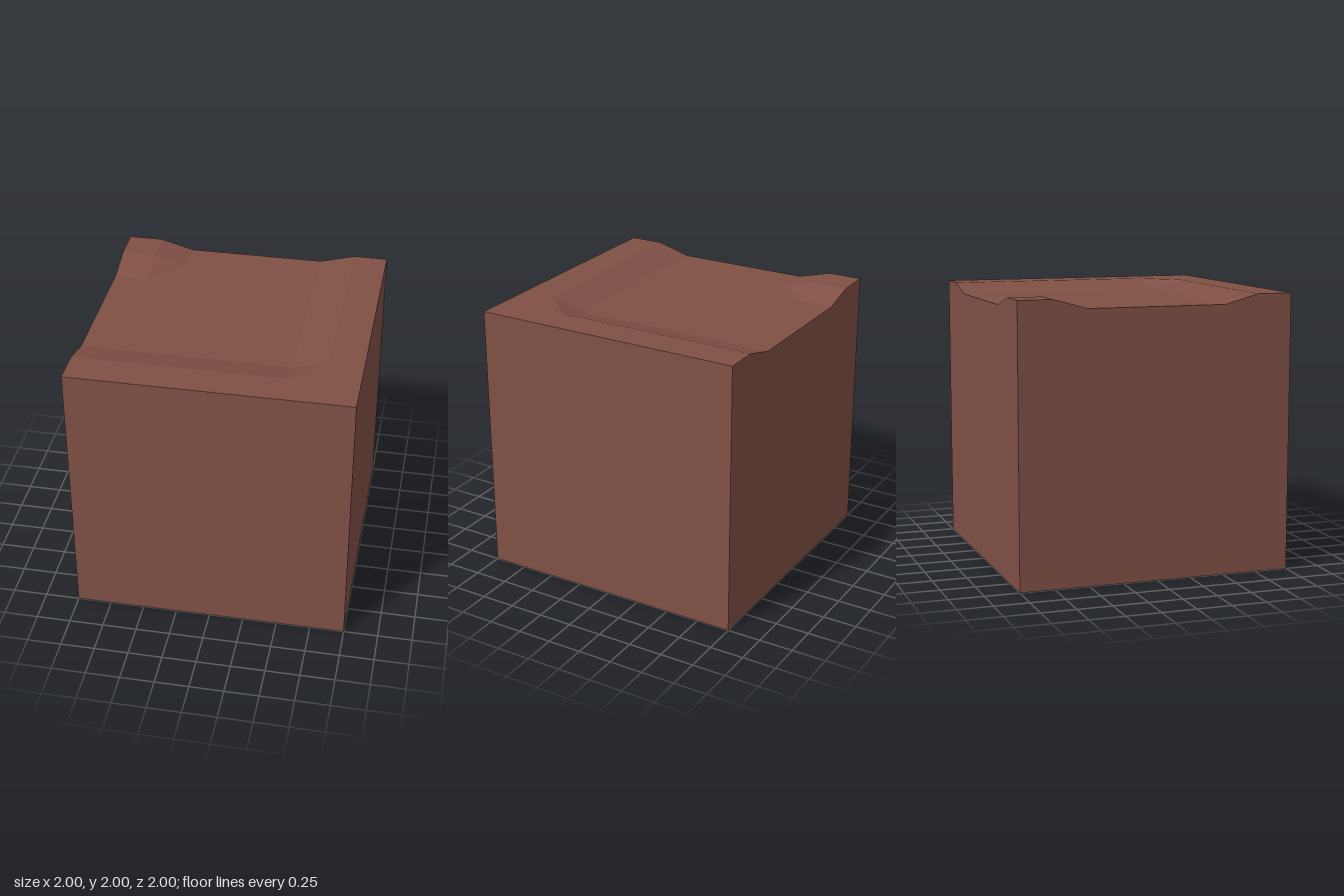
import * as THREE from 'three';

const DEPTH = 0.068; // how far the hollow sinks below the rim

// The hollow runs out through the left and back sides, around one raised corner
const isHollow = (x, z) => x < 0.6 && z < 0.6 && !(x < -0.7 && z < -0.7);

export function createModel() {
  const group = new THREE.Group();
  group.name = 'dirtBlock';
  const dirt = new THREE.MeshStandardMaterial({ color: 0x805045 });
  dirt.name = 'dirt brown';

  // Block with a 0.25 grid on top, its hollow vertices lowered
  const box = new THREE.BoxGeometry(2, 2, 2, 8, 1, 8).translate(0, 1, 0);
  const pos = box.attributes.position;
  for (let i = 0; i < pos.count; i++) {
    if (pos.getY(i) > 1 && isHollow(pos.getX(i), pos.getZ(i))) pos.setY(i, 2 - DEPTH);
  }

  // Split faces for crisp facets
  const geometry = box.toNonIndexed();
  geometry.computeVertexNormals();
  const block = new THREE.Mesh(geometry, dirt);
  block.name = 'block';
  group.add(block);
  return group;
}
